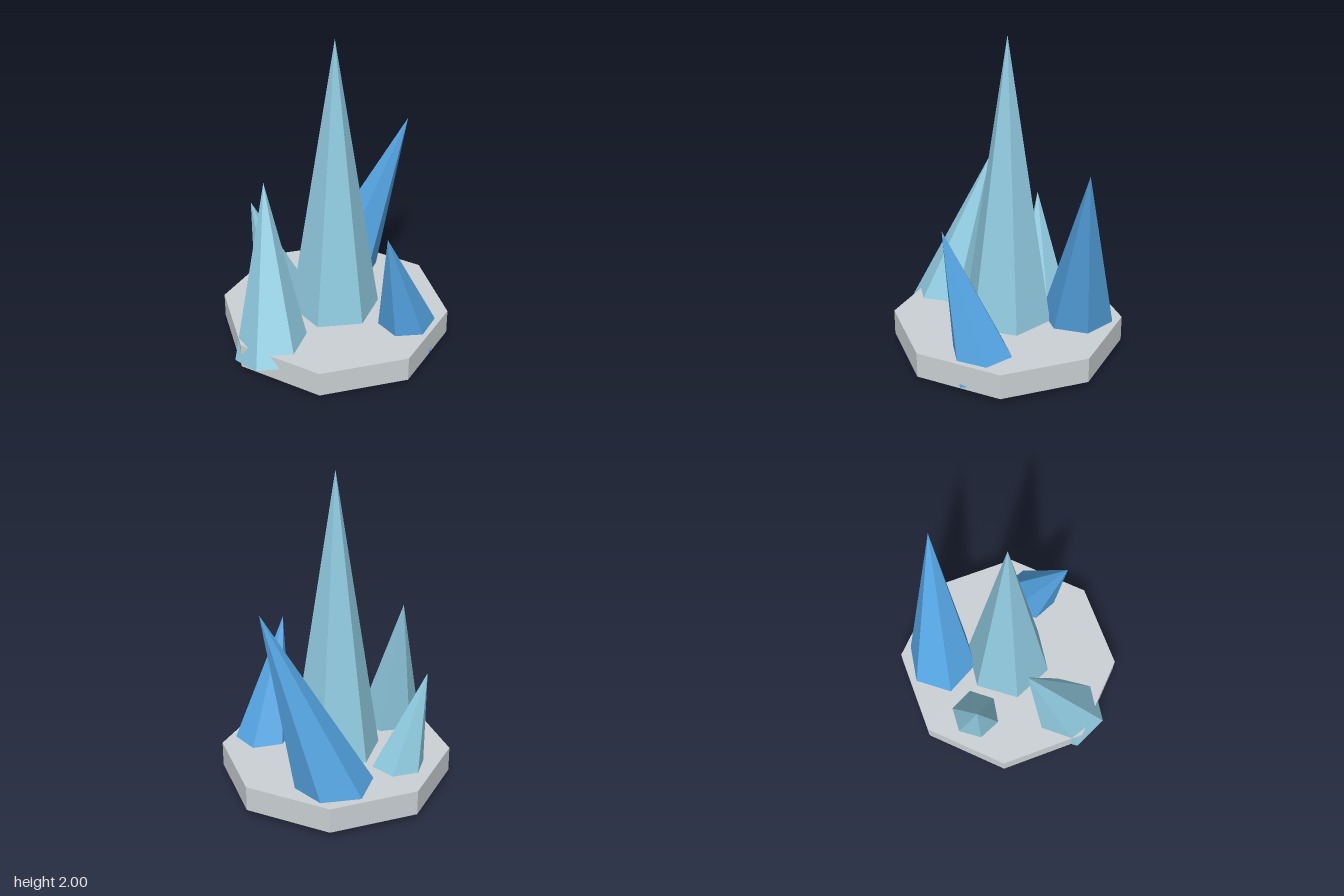
import * as THREE from 'three';

function mat(name, color) {
  const m = new THREE.MeshStandardMaterial({ color, flatShading: true });
  m.name = name;
  return m;
}

export function createModel() {
  const group = new THREE.Group();
  group.name = 'crystalCluster';
  const stone = mat('stoneGrey', 0xcad0d4);
  const pale = mat('paleBlue', 0x90cbe0);
  const blue = mat('strongBlue', 0x54a4e2);

  // Octagonal stone slab
  const slab = new THREE.Mesh(new THREE.CylinderGeometry(0.718, 0.718, 0.16, 8), stone);
  slab.name = 'slab';
  slab.position.set(0.004, 0.125, 0);
  group.add(slab);

  // Six-sided crystal from the centre of its base to its tip
  function crystal(name, material, radius, base, tip) {
    const [dx, dy, dz] = tip.map((v, i) => v - base[i]);
    const length = Math.hypot(dx, dy, dz);
    const geo = new THREE.ConeGeometry(radius, length, 6);
    geo.translate(0, length / 2, 0);
    const mesh = new THREE.Mesh(geo, material);
    mesh.name = name;
    mesh.position.set(...base);
    mesh.rotation.set(Math.atan2(dz, dy), 0, -Math.asin(dx / length));
    group.add(mesh);
  }

  crystal('centreCrystal', pale, 0.3, [0.004, 0.075, 0], [0.004, 2, 0]);
  crystal('backLeftCrystal', blue, 0.25, [0.285, 0.085, -0.338], [0.63, 1.307, -0.06]);
  crystal('rightCrystal', pale, 0.238, [-0.524, 0.073, 0.073], [-0.377, 1.124, -0.198]);
  crystal('frontLeftCrystal', blue, 0.207, [0.275, 0.075, 0.406], [-0.002, 0.93, 0.503]);
  crystal('backRightCrystal', pale, 0.193, [-0.111, 0.064, -0.404], [-0.27, 0.812, -0.51]);

  return group;
}
